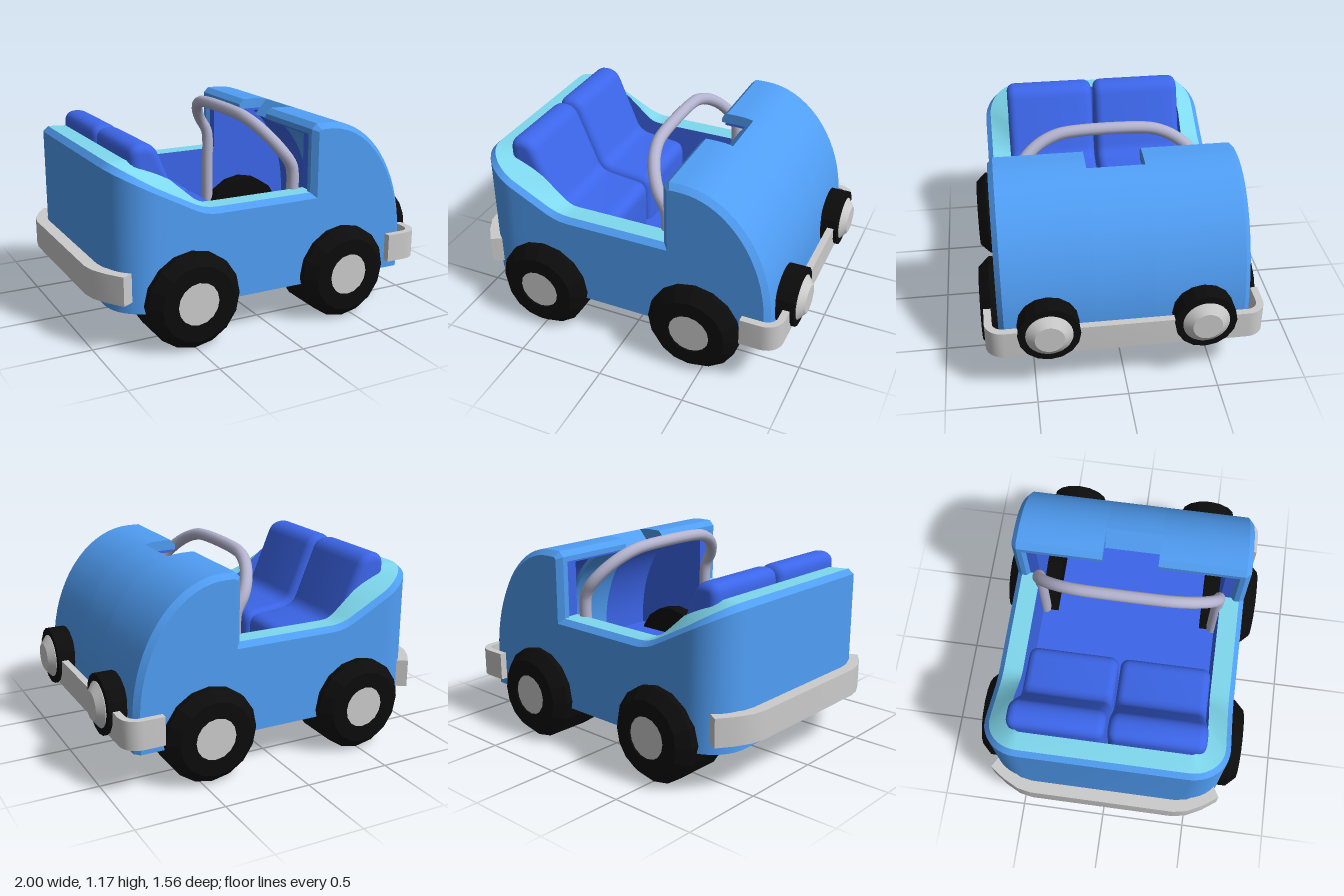
import * as THREE from 'three';
import { toCreasedNormals } from 'three/addons/utils/BufferGeometryUtils.js';

const mat = (color, extra = {}) => new THREE.MeshStandardMaterial({ color, ...extra });
const V2 = (x, y) => new THREE.Vector2(x, y);

export function createModel() {
  const car = new THREE.Group();
  const paint = mat(0x509ef5, { side: THREE.DoubleSide });
  const trim = mat(0x7fd8ee, { side: THREE.DoubleSide });
  const lining = mat(0x3c66ea, { side: THREE.DoubleSide });
  const rubber = mat(0x0c0c0c, { flatShading: true });
  const grey = mat(0xcccccc);
  const tubeGrey = mat(0xb4b4d0);

  const add = (name, geo, material, parent = car) => {
    const mesh = new THREE.Mesh(geo, material);
    mesh.name = name;
    parent.add(mesh);
    return mesh;
  };

  // Flat plate from an (x, z) outline between two heights
  const slab = (pts, y0, y1) => {
    const g = new THREE.ExtrudeGeometry(new THREE.Shape(pts), { depth: y1 - y0, bevelEnabled: false });
    g.rotateX(Math.PI / 2).translate(0, y1, 0);
    return toCreasedNormals(g, 0.5);
  };

  // Panel from an (x, y) outline between two z values
  const panel = (pts, z0, z1) => {
    const g = new THREE.ExtrudeGeometry(new THREE.Shape(pts), { depth: z1 - z0, bevelEnabled: false });
    g.translate(0, 0, z0);
    return toCreasedNormals(g, 0.5);
  };

  // Skin joining rows of points
  const skin = (rows) => {
    const n = rows[0].length, index = [];
    for (let i = 0; i < rows.length - 1; i++) {
      for (let j = 0; j < n - 1; j++) {
        const a = i * n + j, b = a + 1, c = a + n, d = c + 1;
        index.push(a, c, b, b, c, d);
      }
    }
    const g = new THREE.BufferGeometry().setFromPoints(rows.flat());
    g.setIndex(index);
    return toCreasedNormals(g, 0.6);
  };

  // Tub: plan runs from the front left, round the back, to the front right
  const half = [0.3, 0, -0.34, -0.38, -0.42, -0.46, -0.5, -0.6].map((x) => ({ x, z: 0.685, nx: 0, nz: 1 }));
  for (let i = 0; i <= 10; i++) {
    const a = Math.PI / 2 * (1 + i / 10), nx = Math.cos(a), nz = Math.sin(a);
    half.push({ x: -0.69 + 0.22 * nx, z: 0.465 + 0.22 * nz, nx, nz });
  }
  const plan = [...half, ...half.slice().reverse().map((p) => ({ ...p, z: -p.z, nz: -p.nz }))];
  const rim = (x) => {
    if (x < -0.48) return 0.782 + (-0.48 - x) * 0.53;
    const t = Math.max(0, (-0.34 - x) / 0.14);
    return 0.745 + 0.037 * t * t;
  };
  const row = (inset, yOf) => plan.map((p) =>
    new THREE.Vector3(p.x - p.nx * inset, yOf(rim(p.x)), p.z - p.nz * inset));
  // Inner edge slides forward towards the back, so the trim tilts up inwards
  const innerRow = (yOf) => plan.map((p) => new THREE.Vector3(
    p.x + 0.13 * THREE.MathUtils.clamp((-0.36 - p.x) / 0.33, 0, 1), yOf(rim(p.x)), p.z - p.nz * 0.14));
  const top = (h) => h;
  const rimEdge = row(0.03, top);
  add('tubWall', skin([row(0, () => 0.225), row(0, (h) => h - 0.03), rimEdge]), paint);
  add('rimTrim', skin([rimEdge, innerRow(top)]), trim);
  add('tubLining', skin([innerRow(top), innerRow(() => 0.33)]), lining);

  // Underside and cabin floor
  const outline = plan.map((p) => V2(p.x, p.z));
  const nose = [V2(0.83, -0.685), V2(0.86, -0.655), V2(0.86, 0.655), V2(0.83, 0.685)];
  add('underside', slab([...outline, ...nose], 0.225, 0.255), paint);
  add('cabinFloor', slab([V2(-0.77, -0.555), V2(0.78, -0.555), V2(0.78, 0.555), V2(-0.77, 0.555)], 0.33, 0.36), lining);

  // Hollow hood: quarter ellipse inset by d, running from x down to the nose
  const arc = (x, d, steps = 18) => {
    const cx = 0.34, cy = 0.4, rx = 0.52 - d, ry = 0.73 - d;
    const a0 = Math.acos(THREE.MathUtils.clamp((x - cx) / rx, 0, 1));
    const pts = [V2(x, cy + ry * Math.sin(a0))];
    for (let i = 0; i <= steps; i++) {
      const a = Math.PI / 2 * (1 - i / steps);
      if (a < a0 + (x < cx ? 0.01 : -0.01)) pts.push(V2(cx + rx * Math.cos(a), cy + ry * Math.sin(a)));
    }
    pts.push(V2(cx + rx, 0.225));
    return pts;
  };
  const shell = (lip, x0, d0, x1, d1) => [...lip, ...arc(x0, d0), ...arc(x1, d1).reverse()];
  const lip = [V2(0.24, 1.1)];
  const hood = new THREE.Group();
  hood.name = 'hood';
  car.add(hood);
  for (const [z0, z1] of [[-0.655, -0.16], [0.16, 0.655]]) {
    add('hoodSkin', panel(shell(lip, 0.27, 0, 0.24, 0.06), z0, z1), paint, hood);
    add('hoodLining', panel(shell([], 0.26, 0.06, 0.26, 0.075), Math.max(z0, -0.58), Math.min(z1, 0.58)), lining, hood);
  }
  // Middle strip is cut back by a sloped notch
  add('hoodNotchStrip', panel(shell([], 0.43, 0, 0.35, 0.1), -0.16, 0.16), paint, hood);

  // Chamfered hood cheeks with lining inside
  const cheekShape = new THREE.Shape([V2(0.24, 0.225), ...lip, ...arc(0.27, 0)]);
  const innerCheek = [V2(0.26, 0.25), ...arc(0.26, 0.05)];
  for (const s of [-1, 1]) {
    const g = new THREE.ExtrudeGeometry(cheekShape, {
      depth: 0.03, bevelThickness: 0.03, bevelSize: 0.03, bevelOffset: -0.03, bevelSegments: 1,
    });
    g.translate(0, 0, s * 0.64 - 0.015);
    const p = g.attributes.position;
    for (let i = 0; i < p.count; i++) if (p.getY(i) < 0.27) p.setY(i, 0.225);
    add('hoodCheek', toCreasedNormals(g, 0.5), paint, hood);
    add('cheekLining', panel(innerCheek, s * 0.575 - 0.03, s * 0.575 + 0.03), lining, hood);
  }

  // Seats: cushion and leaning backrest in one rounded profile
  const seat = new THREE.Shape();
  seat.moveTo(-0.77, 0.3);
  seat.lineTo(-0.77, 1.02);
  seat.quadraticCurveTo(-0.77, 1.09, -0.7, 1.09);
  seat.quadraticCurveTo(-0.63, 1.09, -0.605, 1.03);
  seat.lineTo(-0.485, 0.74);
  seat.quadraticCurveTo(-0.465, 0.69, -0.41, 0.68);
  seat.lineTo(-0.23, 0.66);
  seat.quadraticCurveTo(-0.16, 0.655, -0.16, 0.58);
  seat.lineTo(-0.16, 0.3);
  for (const z of [-0.275, 0.275]) {
    const g = new THREE.ExtrudeGeometry(seat, {
      depth: 0.435, bevelThickness: 0.05, bevelSize: 0.045, bevelOffset: -0.045, bevelSegments: 5, curveSegments: 6,
    });
    g.translate(0, 0, z - 0.2175);
    add('seat', toCreasedNormals(g, 0.7), lining);
  }

  // Windscreen hoop: upright posts, then a straight backward lean
  const lean = [[0.08, 0.53], [0.3, 0.52], [0.55, 0.475], [0.8, 0.39], [0.95, 0.29], [1, 0.19]]
    .map(([t, z]) => [0.2 - 0.172 * t, 0.87 + 0.258 * t, z]);
  const hoopHalf = [[0.2, 0.36, 0.53], [0.2, 0.6, 0.53], [0.2, 0.85, 0.53], ...lean];
  const hoop = [...hoopHalf, ...hoopHalf.slice().reverse().map(([x, y, z]) => [x, y, -z])]
    .map((p) => new THREE.Vector3(...p));
  add('windscreenHoop', new THREE.TubeGeometry(new THREE.CatmullRomCurve3(hoop), 90, 0.035, 12), tubeGrey);

  // Wheels
  const tyre = [V2(0, 0.45), V2(0.268, 0.45), V2(0.268, 0.72), V2(0.21, 0.78), V2(0.12, 0.78), V2(0.12, 0.755)];
  for (const x of [-0.502, 0.437]) {
    for (const turn of [0, Math.PI]) {
      const wheel = new THREE.Group();
      wheel.name = 'wheel';
      wheel.position.set(x, 0.268, 0);
      wheel.rotation.y = turn;
      car.add(wheel);
      add('tyre', new THREE.LatheGeometry(tyre, 16).rotateX(Math.PI / 2), rubber, wheel);
      add('hub', new THREE.CylinderGeometry(0.122, 0.122, 0.1, 32).rotateX(Math.PI / 2), grey, wheel).position.z = 0.72;
    }
  }

  // Headlights
  const bezel = [V2(0, 0.8), V2(0.14, 0.8), V2(0.14, 0.852), V2(0.168, 0.852), V2(0.168, 0.96), V2(0.12, 0.96)];
  const lens = [V2(0.127, 0.94), V2(0.127, 0.963), V2(0.08, 1), V2(0, 1)];
  for (const z of [-0.42, 0.42]) {
    const lamp = new THREE.Group();
    lamp.name = 'headlight';
    lamp.position.set(0, 0.435, z);
    car.add(lamp);
    add('bezel', new THREE.LatheGeometry(bezel, 16).rotateZ(-Math.PI / 2), rubber, lamp);
    add('lens', toCreasedNormals(new THREE.LatheGeometry(lens, 32).rotateZ(-Math.PI / 2), 0.5), grey, lamp);
  }

  // Bumpers: half outlines mirrored across z
  const mirrored = (out, inn) => {
    const flip = (pts) => pts.slice().reverse().map((p) => V2(p.x, -p.y));
    return [...out, ...flip(out), ...inn.map((p) => V2(p.x, -p.y)), ...inn.slice().reverse()];
  };
  const bend = (r) => Array.from({ length: 7 }, (_, i) => {
    const a = Math.PI / 2 * (1 - i / 6);
    return V2(0.84 + r * Math.cos(a), 0.66 + r * Math.sin(a));
  });
  add('frontBumper', slab(mirrored([V2(0.72, 0.76), ...bend(0.1)], [V2(0.72, 0.72), ...bend(0.06)]), 0.29, 0.45), grey);
  add('rearBumper', slab(mirrored(
    [V2(-0.88, 0.675), V2(-0.94, 0.59), V2(-0.985, 0.5), V2(-1, 0.42)],
    [V2(-0.82, 0.64), V2(-0.88, 0.56), V2(-0.918, 0.49), V2(-0.93, 0.42)]), 0.29, 0.45), grey);

  return car;
}
